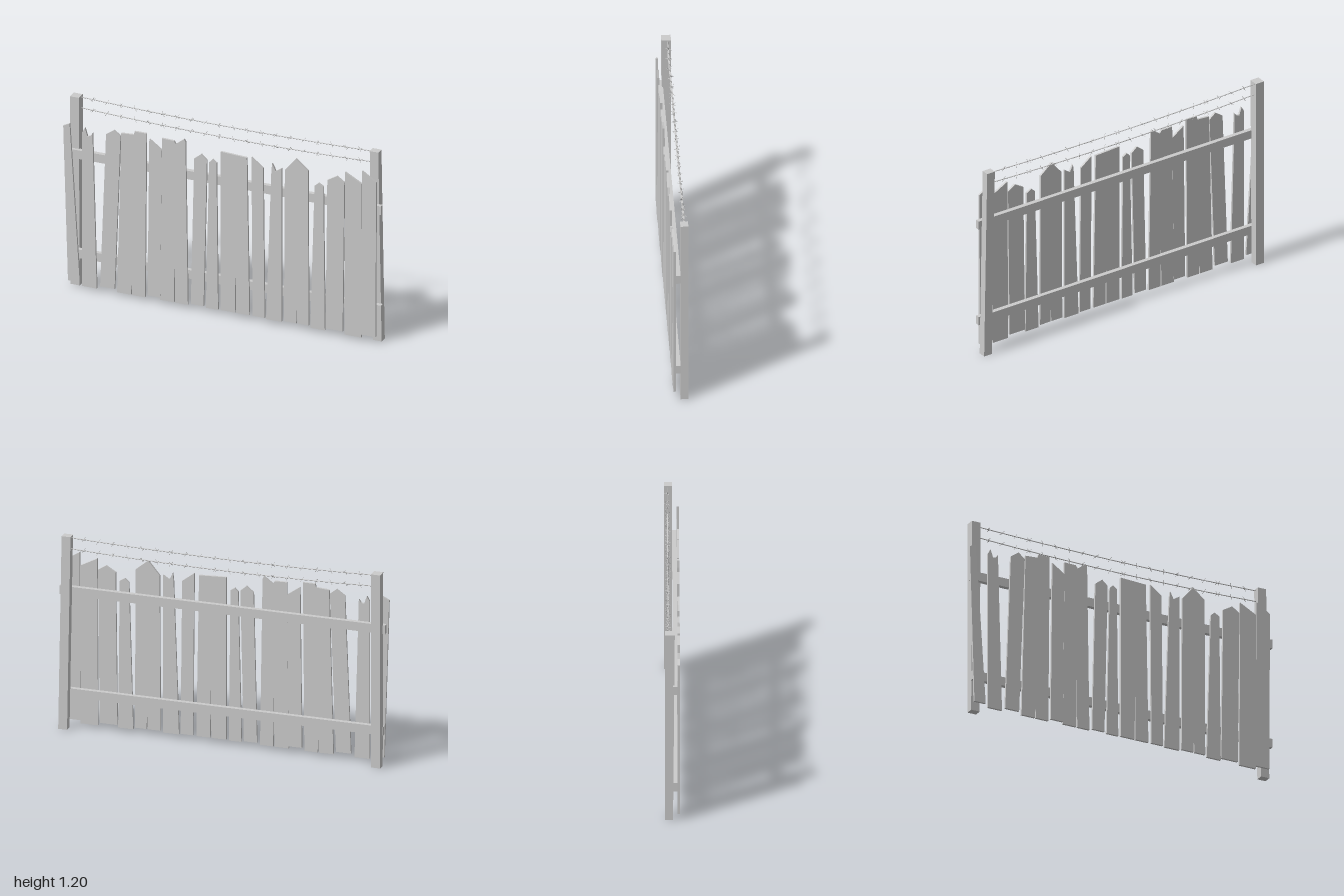
import * as THREE from 'three';

const material = new THREE.MeshStandardMaterial({ color: 0xcccccc, flatShading: true });

// Broken plank tops: width against the foot, and points as [fraction across, drop below the tip]
const tops = {
  rise: { taper: 0.54, points: [[0, 0.02], [1, 0]] },
  notch: { taper: 0.71, points: [[0, 0.03], [0.25, 0], [0.5, 0.05], [0.8, 0.045], [1, 0.025]] },
  peak: { taper: 1, points: [[0, 0.035], [0.55, 0], [1, 0.032]] },
  spike: { taper: 0.94, points: [[0, 0.083], [0.48, 0], [1, 0.063]] },
  step: { taper: 0.9, points: [[0, 0.027], [0.5, 0.022], [0.54, 0], [1, 0]] },
  slant: { taper: 0.98, points: [[0, 0], [1, 0.056]] },
  splinter: { taper: 0.85, points: [[0, 0.02], [0.5, 0.022], [0.58, 0.04], [0.94, 0], [1, 0.015]] },
  flat: { taper: 0.91, points: [[0, 0], [1, 0.008]] },
  fork: { taper: 0.66, points: [[0, 0.044], [0.08, 0], [0.42, 0.044], [1, 0.019]] },
  bump: { taper: 0.61, points: [[0, 0.022], [0.45, 0], [1, 0.018]] },
};

// Planks: foot left x, foot right x, top left x, height, top style, crack height if split
const planks = [
  [-0.97, -0.896, -1, 1.04, 'rise'],
  [-0.88, -0.789, -0.88, 1.03, 'notch'],
  [-0.767, -0.676, -0.73, 1.05, 'peak'],
  [-0.66, -0.484, -0.634, 1.067, 'step', 0.1],
  [-0.468, -0.388, -0.457, 1.035, 'slant'],
  [-0.388, -0.214, -0.377, 1.075, 'splinter', 0.33],
  [-0.195, -0.115, -0.174, 1, 'peak'],
  [-0.1, -0.024, -0.08, 0.98, 'bump'],
  [-0.008, 0.174, -0.008, 1.04, 'flat', 0.36],
  [0.195, 0.27, 0.187, 1.04, 'slant'],
  [0.28, 0.377, 0.313, 1.024, 'fork'],
  [0.393, 0.548, 0.398, 1.083, 'spike', 0.125],
  [0.559, 0.65, 0.585, 0.955, 'bump'],
  [0.655, 0.762, 0.666, 1.02, 'peak'],
  [0.773, 0.88, 0.778, 1.056, 'slant'],
  [0.88, 0.97, 0.885, 1.083, 'slant'],
];

function add(parent, name, geometry) {
  const mesh = new THREE.Mesh(geometry, material);
  mesh.name = name;
  parent.add(mesh);
  return mesh;
}

// Box given by its limits
function box(x0, x1, y0, y1, z0, z1) {
  return new THREE.BoxGeometry(x1 - x0, y1 - y0, z1 - z0)
    .translate((x0 + x1) / 2, (y0 + y1) / 2, (z0 + z1) / 2);
}

function plankGeometry([left, right, topLeft, height, style, crack], index) {
  const foot = 0.03 + 0.01 * Math.cos(index * 2.95);
  const { taper, points } = tops[style];
  const topWidth = (right - left) * taper;
  const shape = new THREE.Shape();
  shape.moveTo(left, foot);
  for (const [across, drop] of points) shape.lineTo(topLeft + across * topWidth, height - drop);
  shape.lineTo(right, foot);
  if (crack) {
    const x = left + (right - left) * 0.52;
    shape.lineTo(x + 0.004, foot);
    shape.lineTo(x, crack);
    shape.lineTo(x - 0.004, foot);
  }
  return new THREE.ExtrudeGeometry(shape, { depth: 0.013, bevelEnabled: false }).translate(0, 0, 0.032);
}

// Post whose top is shifted in x, and whose front face leans forward
function postGeometry(x0, x1, shiftX, leanFront) {
  const geometry = box(x0, x1, 0, 1.2, -0.041, 0.005);
  const p = geometry.attributes.position;
  for (let i = 0; i < p.count; i++) {
    if (p.getY(i) < 0.6) continue;
    p.setX(i, p.getX(i) + shiftX);
    if (p.getZ(i) > 0) p.setZ(i, p.getZ(i) + leanFront);
  }
  geometry.computeVertexNormals();
  return geometry;
}

// Sagging strand with crossed barbs at even steps
function barbedWire(endY, sag) {
  const wire = new THREE.Group();
  const at = (t) => new THREE.Vector3(-0.93 + 1.86 * t, endY - sag * 4 * t * (1 - t), -0.022);
  const path = new THREE.CatmullRomCurve3(Array.from({ length: 9 }, (_, i) => at(i / 8)));
  add(wire, 'strand', new THREE.TubeGeometry(path, 32, 0.0028, 6));
  const barb = new THREE.CylinderGeometry(0.0016, 0.0016, 0.036, 5);
  for (let i = 1; i <= 20; i++) {
    for (const side of [-1, 1]) {
      const spike = add(wire, 'barb', barb);
      spike.position.copy(at(i / 21));
      spike.rotation.set(side * 0.7 + i * 0.9, 0, side * 0.5);
    }
  }
  return wire;
}

export function createModel() {
  const model = new THREE.Group();
  model.name = 'fence';

  // Posts
  add(model, 'rightPost', postGeometry(-0.97, -0.914, 0, 0.01));
  add(model, 'leftPost', postGeometry(0.937, 0.991, -0.021, 0));

  // Horizontal rails
  add(model, 'upperRail', box(-0.985, 0.998, 0.819, 0.873, 0.005, 0.032));
  add(model, 'lowerRail', box(-0.972, 0.998, 0.187, 0.241, 0.005, 0.032));

  // Uneven, broken planks
  const boards = new THREE.Group();
  boards.name = 'planks';
  planks.forEach((plank, i) => add(boards, 'plank', plankGeometry(plank, i)));
  model.add(boards);

  // Barbed wires
  for (const [name, endY, sag] of [['upperWire', 1.19, 0.016], ['lowerWire', 1.122, 0.02]]) {
    const wire = barbedWire(endY, sag);
    wire.name = name;
    model.add(wire);
  }
  return model;
}
